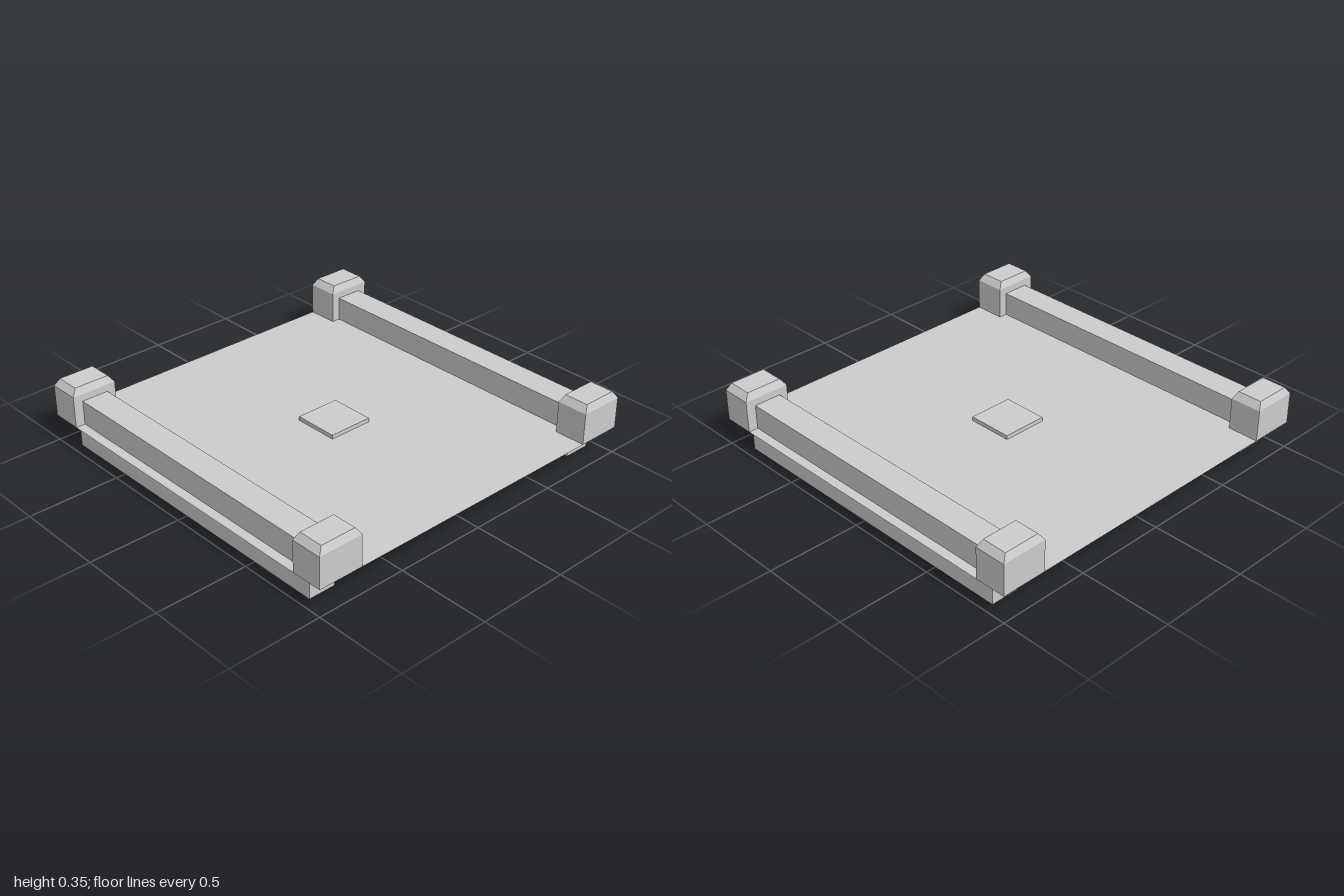
import * as THREE from 'three';

const grey = new THREE.MeshStandardMaterial({ color: 0xcccccc, flatShading: true });
const sheet = new THREE.MeshStandardMaterial({ color: 0xcccccc, flatShading: true, side: THREE.DoubleSide });

const DECK = 0.145;

// Box resting on height y0 and reaching y1
function block(name, w, y0, y1, d, x = 0, z = 0) {
  const mesh = new THREE.Mesh(new THREE.BoxGeometry(w, y1 - y0, d), grey);
  mesh.name = name;
  mesh.position.set(x, (y0 + y1) / 2, z);
  return mesh;
}

// Corner post: box whose top ring is drawn in to form a chamfered cap
function postGeometry(w, h, d, bevelY, insetX, insetZ) {
  const geo = new THREE.BoxGeometry(w, h, d, 1, 2, 1).translate(0, h / 2, 0);
  const p = geo.attributes.position;
  for (let i = 0; i < p.count; i++) {
    const y = p.getY(i);
    if (y > h * 0.75) {
      p.setX(i, Math.sign(p.getX(i)) * (w / 2 - insetX));
      p.setZ(i, Math.sign(p.getZ(i)) * (d / 2 - insetZ));
    } else if (y > h * 0.25) {
      p.setY(i, bevelY);
    }
  }
  const flat = geo.toNonIndexed();
  flat.computeVertexNormals();
  return flat;
}

export function createModel() {
  const model = new THREE.Group();
  model.name = 'platform';

  // Thin deck
  const deck = new THREE.Mesh(new THREE.PlaneGeometry(2, 2).rotateX(-Math.PI / 2), sheet);
  deck.name = 'deck';
  deck.position.y = DECK;
  model.add(deck);

  // Small raised tile in the middle
  model.add(block('centreTile', 0.25, DECK, 0.167, 0.25));

  const post = postGeometry(0.25, 0.21, 0.172, 0.172, 0.027, 0.018);
  for (const [side, sx] of [['left', 1], ['right', -1]]) {
    // Rail above the deck and runner below it
    model.add(block(side + 'Rail', 0.15, DECK, 0.278, 1.66, sx * 0.873));
    model.add(block(side + 'Runner', 0.15, 0, DECK, 1.75, sx * 0.873));

    // Posts at both ends of the rail
    for (const [end, sz] of [['Front', 1], ['Back', -1]]) {
      const mesh = new THREE.Mesh(post, grey);
      mesh.name = side + end + 'Post';
      mesh.position.set(sx * 0.875, DECK, sz * 0.914);
      model.add(mesh);
    }
  }
  return model;
}
